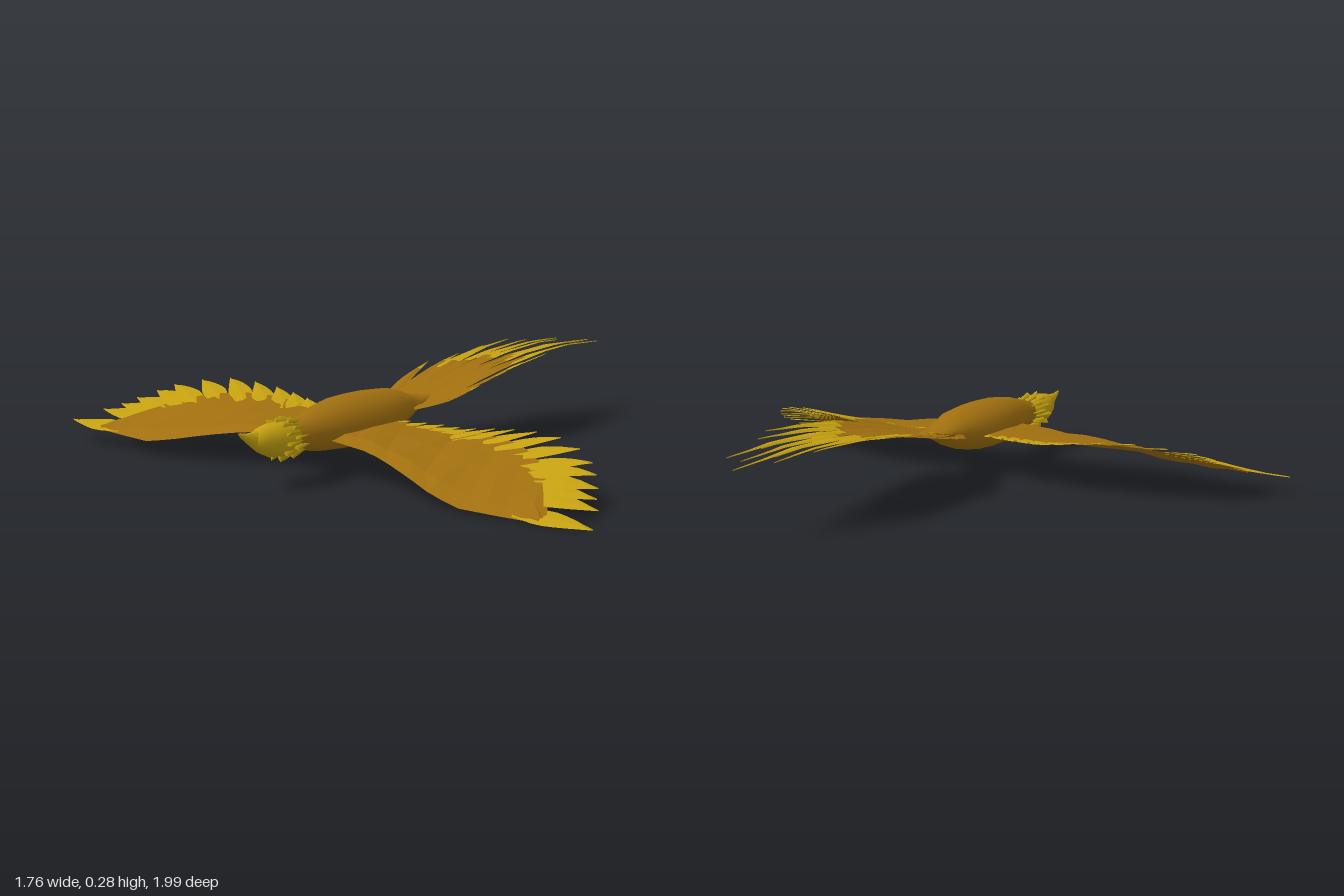
import * as THREE from 'three';
import { mergeGeometries } from 'three/addons/utils/BufferGeometryUtils.js';

// piecewise linear lookup in [[key, value], ...]
function lookup(table, k) {
  for (let i = 1; i < table.length; i++) {
    const [a, va] = table[i - 1], [b, vb] = table[i];
    if (k <= b || i === table.length - 1) return va + (vb - va) * (k - a) / (b - a);
  }
}

// skin over closed rings of points
function loft(rings, flip, flat) {
  const n = rings[0].length, index = [];
  for (let i = 0; i < rings.length - 1; i++) {
    for (let j = 0; j < n; j++) {
      const a = i * n + j, b = i * n + (j + 1) % n, c = a + n, d = b + n;
      if (flip) index.push(a, c, b, b, c, d);
      else index.push(a, b, c, b, d, c);
    }
  }
  let g = new THREE.BufferGeometry();
  g.setAttribute('position', new THREE.Float32BufferAttribute(rings.flat(2), 3));
  g.setIndex(index);
  if (flat) g = g.toNonIndexed();
  g.computeVertexNormals();
  return g;
}

// elliptical sections along x: [x, centre y, half height, half width]
function bodyLoft(sections, sides = 16) {
  return loft(sections.map(([x, y, h, w]) => Array.from({ length: sides }, (_, j) => {
    const a = j / sides * Math.PI * 2;
    return [x, y + h * Math.cos(a), w * Math.sin(a)];
  })), false, false);
}

// pointed feather along a bent line in plan, laid on the surface height(x, z); t0..t1 is the part built
function feather(root, ctrl, tip, width, height, t0 = 0, t1 = 1, tilt = 0) {
  const curve = new THREE.QuadraticBezierCurve(
    new THREE.Vector2(...root), new THREE.Vector2(...ctrl), new THREE.Vector2(...tip));
  let g = new THREE.PlaneGeometry(2, 1, 2, 7);
  const p = g.attributes.position;
  for (let i = 0; i < p.count; i++) {
    const side = p.getX(i), t = t0 + (t1 - t0) * (p.getY(i) + 0.5);
    const c = curve.getPoint(t), d = curve.getTangent(t);
    const w = width / 2 * (t < 0.35 ? 0.6 + 0.4 * t / 0.35 : 1 - Math.pow((t - 0.35) / 0.65, 1.6));
    const x = c.x - d.y * w * side, z = c.y + d.x * w * side;
    p.setXYZ(i, x, height(x, z) + (side === 0 ? 0.003 : 0) + tilt * side * w, z);
  }
  g = g.toNonIndexed();
  g.computeVertexNormals();
  return g;
}

// wing shape by distance from the body
const LEAD = [[0, -0.57], [0.2, -0.565], [0.34, -0.61], [0.5, -0.66], [0.6, -0.667], [0.75, -0.652], [0.84, -0.64]];
const TRAIL = [[0, -0.28], [0.2, -0.29], [0.4, -0.28], [0.52, -0.305], [0.62, -0.36], [0.7, -0.41], [0.77, -0.5], [0.84, -0.6]];
const LIFT = [[0, 0.12], [0.3, 0.087], [0.6, 0.045], [0.8, 0.037], [1, 0.03]];
const PITCH = [[0, 0.05], [0.3, 0.13], [0.6, 0.33], [0.8, 0.36], [1, 0.25]];
const wingHeight = (x, z) => lookup(LIFT, Math.abs(z)) + lookup(PITCH, Math.abs(z)) * (x + 0.62);

// flight feathers: [tip x, tip z]
const FLIGHT = [[-0.265, 0.11], [-0.255, 0.165], [-0.245, 0.22], [-0.24, 0.275], [-0.235, 0.33], [-0.23, 0.395],
  [-0.23, 0.465], [-0.24, 0.55], [-0.257, 0.645], [-0.295, 0.735], [-0.345, 0.81], [-0.385, 0.85],
  [-0.435, 0.89], [-0.48, 0.915], [-0.525, 0.95], [-0.615, 0.993]];

function makeWing(s, brown, gold) {
  const wing = new THREE.Group();
  const rings = [];
  for (let i = 0; i <= 14; i++) {
    const z = i * 0.06, lead = lookup(LEAD, z), trail = lookup(TRAIL, z);
    const thick = 0.016 * (1 - 0.7 * z);
    rings.push([[0, 0], [0.15, 1], [0.55, 0.8], [1, 0.1], [0.55, -0.4], [0.15, -0.7]].map(([u, h], j) => {
      const x = lead + (trail - lead) * u;
      return [x, wingHeight(x, z) + h * thick + (u % 1 ? 0.003 * Math.sin(i * 2.3 + j * 1.7) : 0), s * z];
    }));
  }
  const vane = new THREE.Mesh(loft(rings, s > 0, true), brown);
  vane.name = 'wingCoverts';

  const last = FLIGHT.length - 1;
  const parts = FLIGHT.map(([x, z], i) => {
    const k = i / last, angle = 0.35 + 1.2 * k, len = 0.14 + 0.1 * k;
    const root = [x - len * Math.cos(angle), s * (z - len * Math.sin(angle))];
    const bend = 0.018 * (1 - 0.6 * k);
    const ctrl = [x - len * 0.45 * Math.cos(angle) + bend, s * (z - len * 0.45 * Math.sin(angle) - bend)];
    return feather(root, ctrl, [x, s * z], 0.068 + 0.014 * k, wingHeight, 0, 1, 0.08 * s);
  });
  const feathers = new THREE.Mesh(mergeGeometries(parts), gold);
  feathers.name = 'flightFeathers';
  wing.add(vane, feathers);
  wing.name = s > 0 ? 'wingPlusZ' : 'wingMinusZ';
  return wing;
}

// tail feathers: [tip x, tip z]
const TAIL = [[-0.06, -0.11], [0.05, -0.13], [0.16, -0.15], [0.3, -0.133], [0.42, -0.12], [0.55, -0.112],
  [0.63, -0.09], [0.77, -0.06], [0.72, -0.025], [0.87, 0.005], [0.8, 0.035], [0.68, 0.06], [0.8, 0.088],
  [0.62, 0.12], [0.55, 0.147], [0.37, 0.165], [0.25, 0.16], [0.15, 0.176], [0.03, 0.15], [-0.06, 0.115]];
const ARCH = [[-0.2, 0.145], [-0.1, 0.155], [0, 0.178], [0.2, 0.218], [0.4, 0.243], [0.6, 0.252], [0.87, 0.24]];
const tailHeight = (x, z) => lookup(ARCH, x) + 0.9 * z * z;

function makeTail(brown, gold) {
  const tail = new THREE.Group();
  const base = [], tips = [];
  TAIL.forEach(([x, z], i) => {
    const root = [-0.19, z * 0.3], ctrl = [-0.19 + (x + 0.19) * 0.38, z * 0.85];
    const height = (px, pz) => tailHeight(px, pz) + (i % 3) * 0.003;
    const split = x > 0.35 ? 0.62 : 0.85, width = 0.046;
    base.push(feather(root, ctrl, [x, z], width, height, 0, split, 0.1));
    tips.push(feather(root, ctrl, [x, z], width, height, split, 1, 0.1));
  });
  // shorter feathers covering the middle of the fan
  for (let i = -3; i <= 3; i++) {
    const z = i * 0.032 + 0.006;
    base.push(feather([-0.2, z * 0.4], [0, z * 0.9], [0.36 - Math.abs(i) * 0.03, z], 0.065,
      (px, pz) => tailHeight(px, pz) + 0.004, 0, 1));
  }
  const fan = new THREE.Mesh(mergeGeometries(base), brown);
  fan.name = 'tailFan';
  const ends = new THREE.Mesh(mergeGeometries(tips), gold);
  ends.name = 'tailTips';
  tail.add(fan, ends);
  tail.name = 'tail';
  return tail;
}

export function createModel() {
  const brown = new THREE.MeshStandardMaterial({ color: 0xa06f0f, side: THREE.DoubleSide });
  brown.name = 'golden brown';
  const gold = new THREE.MeshStandardMaterial({ color: 0xc4a010, side: THREE.DoubleSide });
  gold.name = 'yellow gold';
  const bird = new THREE.Group();
  bird.name = 'bird';

  const body = new THREE.Mesh(bodyLoft([
    [-0.72, 0.138, 0.03, 0.03], [-0.67, 0.138, 0.043, 0.042], [-0.62, 0.14, 0.053, 0.052], [-0.56, 0.143, 0.067, 0.07],
    [-0.48, 0.147, 0.076, 0.085], [-0.4, 0.148, 0.078, 0.09], [-0.32, 0.15, 0.075, 0.09], [-0.24, 0.155, 0.064, 0.08],
    [-0.18, 0.157, 0.045, 0.062], [-0.13, 0.162, 0.022, 0.05], [-0.06, 0.168, 0.006, 0.035], [-0.02, 0.174, 0.001, 0.005]]), brown);
  body.name = 'body';

  const head = new THREE.Mesh(bodyLoft([
    [-0.835, 0.146, 0.001, 0.001], [-0.83, 0.147, 0.022, 0.018], [-0.805, 0.145, 0.037, 0.034], [-0.77, 0.14, 0.048, 0.046],
    [-0.73, 0.138, 0.051, 0.05], [-0.69, 0.137, 0.047, 0.047], [-0.66, 0.138, 0.036, 0.036]]), gold);
  head.name = 'head';

  const beak = new THREE.Mesh(bodyLoft([
    [-0.892, 0.177, 0.001, 0.001], [-0.885, 0.173, 0.006, 0.004], [-0.86, 0.16, 0.014, 0.009],
    [-0.835, 0.151, 0.024, 0.016], [-0.8, 0.145, 0.032, 0.024]], 10), gold);
  beak.name = 'beak';

  // pointed ruff feathers around the neck
  const ruffParts = [];
  for (let row = 0; row < 2; row++) {
    for (let i = 0; i < 11; i++) {
      const g = new THREE.ConeGeometry(0.015, 0.085, 4);
      g.scale(1, 1, 0.35);
      g.rotateZ(-Math.PI / 2 - 0.1);
      g.rotateX(Math.PI / 2);
      g.rotateX(-Math.PI / 2);
      g.translate(-0.7 + row * 0.035, 0.046, 0);
      g.rotateX((i + row * 0.5) / 11 * Math.PI * 2);
      g.translate(0, 0.137, 0);
      ruffParts.push(g);
    }
  }
  const ruff = new THREE.Mesh(mergeGeometries(ruffParts), gold);
  ruff.name = 'neckRuff';

  // wings, banked and turned slightly
  const wings = new THREE.Group();
  wings.name = 'wings';
  wings.add(makeWing(1, brown, gold), makeWing(-1, brown, gold));
  wings.rotation.set(0.03, -0.01, 0);

  bird.add(body, head, beak, ruff, wings, makeTail(brown, gold));
  return bird;
}
